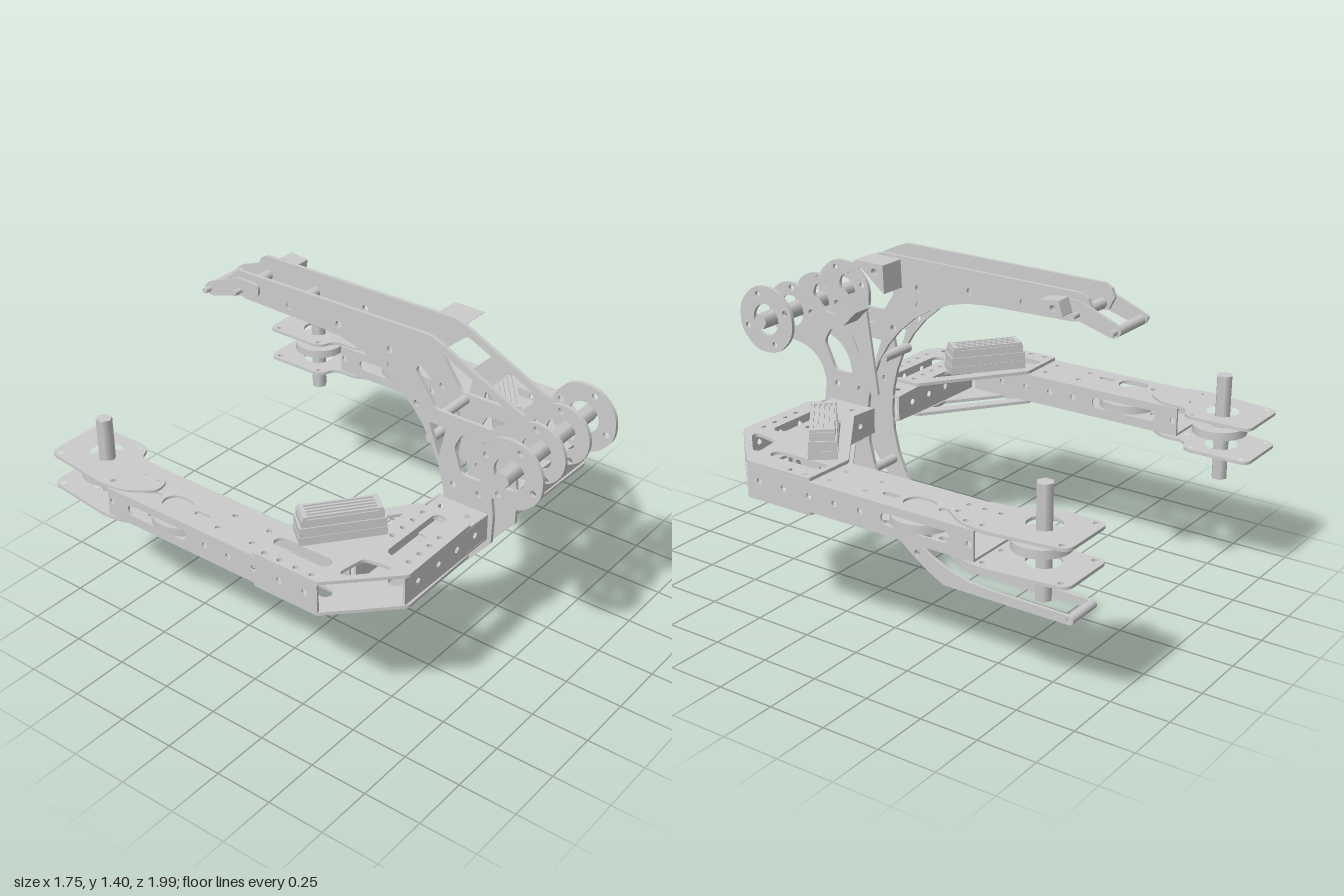
import * as THREE from 'three';

const mat = new THREE.MeshStandardMaterial({ color: 0xcccccc });

function circle(x, y, r) {
  return new THREE.Path().absarc(x, y, r, 0, Math.PI * 2, true);
}
// Rounded slot from a to b
function slot(ax, ay, bx, by, r) {
  const t = Math.atan2(by - ay, bx - ax);
  const p = new THREE.Path();
  p.absarc(ax, ay, r, t + Math.PI / 2, t + Math.PI * 1.5, false);
  p.absarc(bx, by, r, t - Math.PI / 2, t + Math.PI / 2, false);
  p.closePath();
  return p;
}
// Polygon with rounded corners
function poly(pts, r = 0.02, Type = THREE.Shape) {
  const p = new Type(), n = pts.length;
  const toward = (a, b) => {
    const dx = b[0] - a[0], dy = b[1] - a[1], l = Math.hypot(dx, dy), k = Math.min(r, l * 0.45) / l;
    return [a[0] + dx * k, a[1] + dy * k];
  };
  pts.forEach((c, i) => {
    const a = toward(c, pts[(i + n - 1) % n]), b = toward(c, pts[(i + 1) % n]);
    if (i) p.lineTo(...a); else p.moveTo(...a);
    p.quadraticCurveTo(...c, ...b);
  });
  p.closePath();
  return p;
}
const hole = (pts, r) => poly(pts, r, THREE.Path);
const extrude = (shape, depth, holes = []) => {
  shape.holes.push(...holes);
  return new THREE.ExtrudeGeometry(shape, { depth, bevelEnabled: false, curveSegments: 10 });
};
const add = (parent, name, geo) => {
  const m = new THREE.Mesh(geo, mat);
  m.name = name;
  parent.add(m);
  return m;
};
// Shape drawn in (z, y), centred on x
const uprightPlate = (shape, x, t, holes) => extrude(shape, t, holes).rotateY(-Math.PI / 2).translate(x + t / 2, 0, 0);
// Shape drawn in (x, z), top face at y
const flatPlate = (shape, y, t, holes) => extrude(shape, t, holes).rotateX(Math.PI / 2).translate(0, y, 0);
const box = (w, h, d, x, y, z) => new THREE.BoxGeometry(w, h, d).translate(x, y, z);
const rodX = (x0, x1, r, y, z, n = 14) =>
  new THREE.CylinderGeometry(r, r, x1 - x0, n).rotateZ(Math.PI / 2).translate((x0 + x1) / 2, y, z);
const rodY = (y0, y1, r, x, z, n = 6) => new THREE.CylinderGeometry(r, r, y1 - y0, n).translate(x, (y0 + y1) / 2, z);

const HUB = [0.855, 1.08];

function sidePlate() {
  const s = new THREE.Shape();
  s.moveTo(0.79, 1.215);
  [[0.41, 1.395], [0.36, 1.412], [-0.58, 1.402], [-0.61, 1.385], [-0.625, 1.35], [-0.6, 1.3], [-0.55, 1.285]]
    .forEach(p => s.lineTo(...p));
  // C-shaped inner edge
  s.absarc(-0.16, 0.665, 0.613, Math.PI / 2, -Math.PI / 2, true);
  s.lineTo(-0.56, 0.048);
  s.absarc(-0.56, 0.028, 0.02, Math.PI / 2, Math.PI * 1.5, false);
  s.lineTo(0.06, 0.008);
  s.quadraticCurveTo(0.2, 0.07, 0.35, 0.21);
  [[0.675, 0.6], [0.68, 0.72], [0.67, 0.8]].forEach(p => s.lineTo(...p));
  s.quadraticCurveTo(0.69, 0.93, 0.82, 0.95);
  s.absarc(...HUB, 0.125, -Math.PI / 2, Math.PI * 0.62, false);
  s.closePath();
  const bolts = [[0.18, 1.29], [0.18, 1.22], [-0.07, 1.32], [-0.32, 1.32], [0.31, 1.1], [0.61, 0.8], [0.49, 0.8],
    [0.45, 0.44], [0.35, 0.26], [0.2, 0.12], [0.745, 1.09], [0.85, 1.18], [0.9, 0.98]];
  return [s, [
    circle(...HUB, 0.068),
    hole([[0.72, 1.215], [0.42, 1.355], [0.3, 1.25], [0.4, 1.105], [0.66, 1.105], [0.73, 1.17]]),
    hole([[0.64, 1.04], [0.525, 1.04], [0.49, 0.97], [0.525, 0.86], [0.62, 0.86], [0.675, 0.98]]),
    hole([[0.45, 1.04], [0.37, 1.04], [0.42, 0.9]], 0.01),
    ...bolts.map(([z, y]) => circle(z, y, 0.014)),
    circle(-0.56, 0.028, 0.011)]];
}

function centreFrame() {
  const g = new THREE.Group();
  g.name = 'centreFrame';
  for (const x of [-0.095, 0.075]) {
    const [shape, holes] = sidePlate();
    add(g, 'sidePlate', uprightPlate(shape, x, 0.016, holes));
    // Tip link
    add(g, 'tipLink', uprightPlate(poly([[-0.47, 1.37], [-0.47, 1.32], [-0.56, 1.3], [-0.73, 1.25], [-0.765, 1.28],
      [-0.74, 1.31], [-0.57, 1.375]]), x * 1.15, 0.012, [circle(-0.735, 1.28, 0.012), circle(-0.565, 1.32, 0.012)]));
  }
  // Spacers between the plates
  for (const [z, y] of [[0.45, 0.44], [0.35, 0.26], [-0.56, 0.028], [0.18, 1.22], [-0.32, 1.32], [0.37, 0.96], [0.42, 1.08]])
    add(g, 'spacer', rodX(-0.095, 0.075, 0.021, y, z));
  add(g, 'tipPin', rodX(-0.145, 0.125, 0.012, 1.28, -0.735));
  add(g, 'tipSpacer', rodX(-0.1, 0.08, 0.02, 1.28, -0.735));
  add(g, 'linkPin', rodX(-0.15, 0.13, 0.012, 1.32, -0.57));
  add(g, 'linkSpacer', rodX(-0.1, 0.08, 0.022, 1.32, -0.57));

  // Front shaft with its end discs
  add(g, 'frontShaft', rodX(-0.335, 0.28, 0.034, HUB[1], HUB[0], 6));
  for (const x of [-0.275, 0.235]) {
    const pts = [], bolts = [];
    for (let i = 0; i < 8; i++) {
      const a = (i + 0.5) * Math.PI / 4;
      pts.push([HUB[0] + 0.154 * Math.cos(a), HUB[1] + 0.154 * Math.sin(a)]);
      if (i % 2) bolts.push(circle(HUB[0] + 0.112 * Math.cos(a), HUB[1] + 0.112 * Math.sin(a), 0.013));
    }
    add(g, 'shaftDisc', uprightPlate(poly(pts, 0.05), x, 0.016, [circle(...HUB, 0.068), ...bolts]));
  }

  // Lever and mounting blocks on the left plate
  add(g, 'lever', uprightPlate(poly([[0.505, 1.14], [0.44, 1.17], [0.385, 0.8], [0.42, 0.78]], 0.01), 0.088, 0.012));
  add(g, 'leverBlock', box(0.09, 0.085, 0.095, 0, 0, 0).rotateX(Math.PI / 4).translate(0.155, 1.175, 0.47));
  add(g, 'wedgeBlock', uprightPlate(poly([[0.41, 1.4], [0.265, 1.4], [0.26, 1.28]], 0.005), 0.14, 0.12,
    [circle(0.31, 1.365, 0.014)]));
  add(g, 'tipBlock', uprightPlate(poly([[-0.455, 1.38], [-0.54, 1.39], [-0.56, 1.33], [-0.465, 1.32]], 0.004), 0.145, 0.07,
    [circle(-0.515, 1.355, 0.013)]));
  return g;
}

function gussetPlate(s, top) {
  const m = pts => pts.map(([x, z]) => [x * s, z]);
  const bolts = [];
  for (let i = 0; i < 4; i++) {
    bolts.push([0.835, 0.16 + i * 0.075], [0.68, 0.16 + i * 0.05], [0.26 + i * 0.065, 0.468], [0.36 + i * 0.065, 0.618]);
  }
  const holes = [
    slot(s * 0.745, 0.165, s * 0.745, 0.375, 0.028),
    slot(s * 0.265, 0.542, s * 0.53, 0.542, 0.03),
    hole(m([[0.625, 0.175], [0.31, 0.415], [0.41, 0.415], [0.625, 0.245]]), 0.01),
    ...bolts.filter(b => b[0] > 0.7 || b[1] > 0.4).map(([x, z]) => circle(s * x, z, 0.011))];
  if (top) holes.push(hole(m([[0.64, 0.475], [0.76, 0.455], [0.77, 0.48], [0.65, 0.595], [0.62, 0.59]]), 0.02));
  return [poly(m([[0.215, 0.66], [0.62, 0.668], [0.86, 0.43], [0.86, 0.12], [0.63, 0.115], [0.215, 0.42]]), 0.012), holes];
}

function endPlate(s) {
  const m = pts => pts.map(([x, z]) => [x * s, z]);
  const bolts = [[0.575, -0.955], [0.8, -0.955], [0.575, -0.725], [0.82, -0.64], [0.82, -0.57], [0.7, -0.64],
    [0.7, -0.57], [0.7, -0.5], [0.77, -0.5]];
  return [poly(m([[0.55, -0.995], [0.82, -0.995], [0.86, -0.66], [0.845, -0.56], [0.77, -0.45], [0.7, -0.46],
    [0.63, -0.55], [0.63, -0.67], [0.55, -0.7]]), 0.04),
  [circle(s * 0.682, -0.81, 0.068), ...bolts.map(([x, z]) => circle(s * x, z, 0.011))]];
}

function arm(s) {
  const g = new THREE.Group();
  g.name = s > 0 ? 'leftArm' : 'rightArm';
  const y0 = 0.612, y1 = 0.735;
  for (const top of [true, false]) {
    const [gs, gh] = gussetPlate(s, top);
    add(g, 'cornerGusset', flatPlate(gs, top ? 0.75 : y0, 0.014, gh));
    const [es, eh] = endPlate(s);
    add(g, 'endPlate', flatPlate(es, top ? 0.745 : 0.6, 0.013, eh));
    // Flanges of the arm beam and front beam
    add(g, 'armFlange', flatPlate(poly([[s * 0.622, 0.12], [s * 0.86, 0.12], [s * 0.86, -0.63], [s * 0.622, -0.63]], 0.002),
      top ? y1 : y0 + 0.01, 0.01, [
        slot(s * 0.775, -0.225, s * 0.775, -0.18, 0.014), slot(s * 0.775, -0.35, s * 0.775, -0.315, 0.048),
        slot(s * 0.775, -0.48, s * 0.775, -0.435, 0.014),
        ...[[0.7, -0.1], [0.8, -0.1], [0.7, 0.07], [0.8, 0.07], [0.7, -0.57], [0.7, -0.5]].map(([x, z]) => circle(s * x, z, 0.012))]));
    add(g, 'frontFlange', flatPlate(poly([[s * 0.085, 0.43], [s * 0.235, 0.43], [s * 0.235, 0.658], [s * 0.085, 0.658]], 0.002),
      top ? 0.728 : y0 + 0.012, 0.01, [circle(s * 0.155, 0.48, 0.013), circle(s * 0.155, 0.6, 0.013)]));
  }
  // Beam webs with bolt holes
  for (const x of [0.855, 0.627]) {
    const zEnd = x > 0.8 ? 0.43 : 0.4;
    const bolts = [0.37, 0.25, 0.125, 0, -0.12, -0.61].map(z => circle(z, 0.677, 0.013));
    add(g, 'armWeb', uprightPlate(poly([[zEnd, y0], [zEnd, y1], [-0.63, y1], [-0.63, y0]], 0.002), s * x, 0.01,
      [...bolts, slot(-0.24, 0.677, -0.5, 0.677, 0.024)]));
  }
  for (const z of [0.652, 0.425]) {
    const bolts = [0.18, 0.3, 0.42, 0.55].map(x => circle(s * x, 0.677, 0.013));
    const x1 = 0.63;
    add(g, 'frontWeb', extrude(poly([[s * 0.085, 0.618], [s * 0.235, 0.614], [s * x1, y0], [s * x1, y1], [s * 0.235, y1],
      [s * 0.085, 0.728]], 0.002), 0.01, bolts).translate(0, 0, z - 0.005));
  }

  // End shaft, nuts and the two pulleys
  add(g, 'endShaft', rodY(0.45, 0.905, 0.034, s * 0.682, -0.81));
  add(g, 'endPulley', rodY(0.655, 0.69, 0.115, s * 0.682, -0.8, 32));
  add(g, 'midPulley', rodY(0.655, 0.69, 0.128, s * 0.745, -0.33, 32));
  add(g, 'pulleyHub', rodY(0.63, 0.715, 0.05, s * 0.682, -0.81, 16));

  // Servo lying across the corner
  const servo = new THREE.Group();
  servo.name = 'servo';
  servo.position.set(s * 0.557, 0, 0.3);
  servo.rotation.y = s * 0.675;
  add(servo, 'servoBase', box(0.34, 0.035, 0.115, 0, 0.768, 0));
  add(servo, 'servoBody', box(0.335, 0.04, 0.11, 0, 0.804, 0));
  add(servo, 'servoCap', box(0.32, 0.034, 0.1, 0, 0.84, 0));
  for (let i = -2; i <= 2; i++) add(servo, 'servoRib', box(0.27, 0.014, 0.01, 0, 0.861, i * 0.02));
  for (const e of [-1, 1]) add(servo, 'servoEnd', box(0.02, 0.016, 0.1, e * 0.145, 0.861, 0));
  g.add(servo);
  return g;
}

export function createModel() {
  const model = new THREE.Group();
  model.name = 'gripperFrame';
  const arms = new THREE.Group();
  arms.name = 'arms';
  arms.position.x = -0.008;
  arms.add(arm(1), arm(-1));
  model.add(centreFrame(), arms);
  return model;
}
